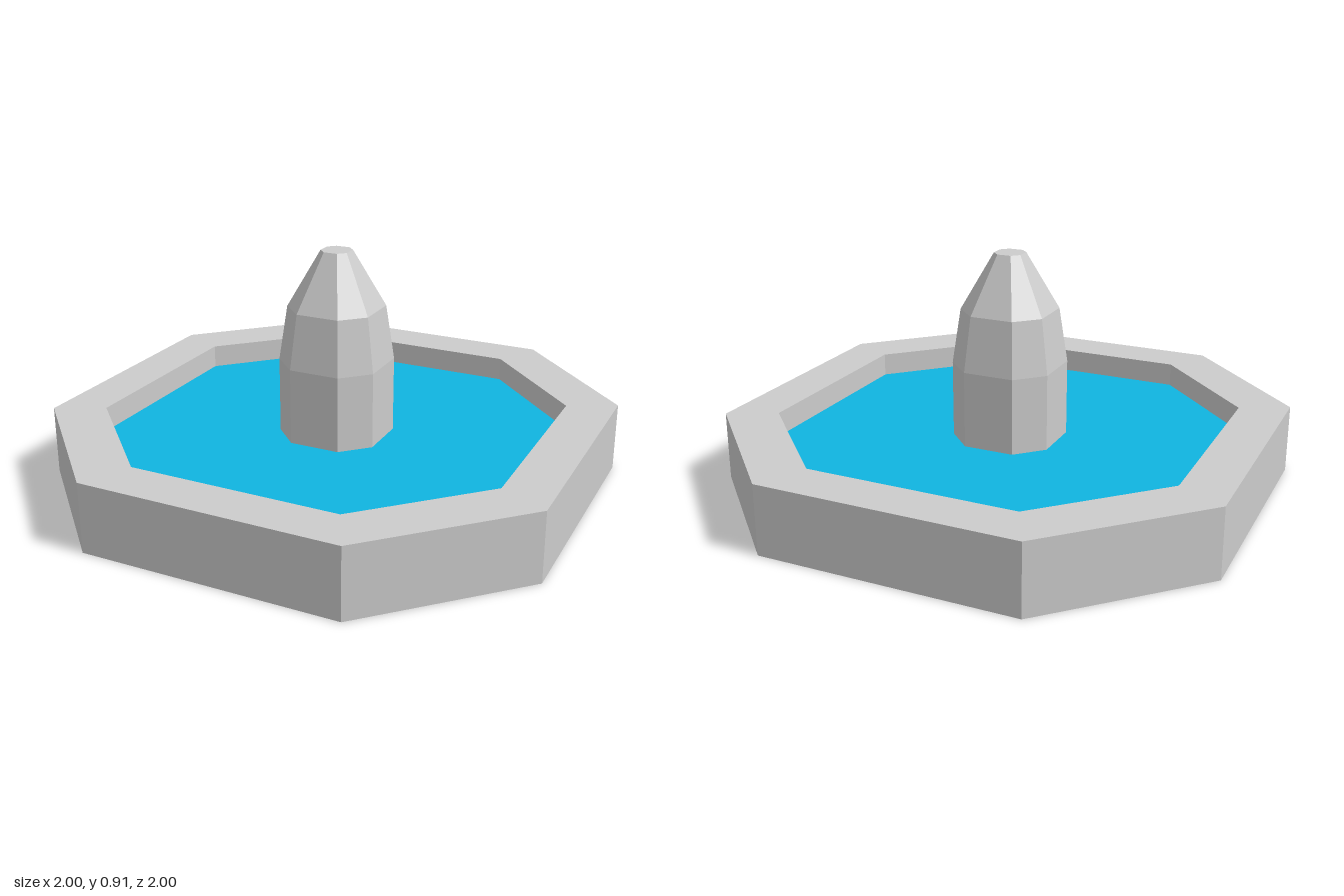
import * as THREE from 'three';

// Octagon with unit half-width and slightly longer diagonal sides, counter-clockwise from above
const CORNERS = [[0.5, 1], [1, 0.5], [1, -0.5], [0.5, -1], [-0.5, -1], [-1, -0.5], [-1, 0.5], [-0.5, 1]];

// Sweeps a [half-width, height] profile around the octagon
function octagonSweep(profile) {
  const positions = [];
  const point = ([r, y], i) => {
    const [x, z] = CORNERS[i % 8];
    return [x * r, y, z * r];
  };
  for (let j = 0; j < profile.length - 1; j++) {
    const low = profile[j], high = profile[j + 1];
    for (let i = 0; i < 8; i++) {
      const a = point(low, i), b = point(low, i + 1);
      const c = point(high, i + 1), d = point(high, i);
      if (low[0] > 0) positions.push(...a, ...b, ...c);
      if (high[0] > 0) positions.push(...a, ...c, ...d);
    }
  }
  const geometry = new THREE.BufferGeometry();
  geometry.setAttribute('position', new THREE.Float32BufferAttribute(positions, 3));
  geometry.computeVertexNormals();
  return geometry;
}

export function createModel() {
  const group = new THREE.Group();
  const stone = new THREE.MeshStandardMaterial({ color: 0xcccccc, flatShading: true });
  const blue = new THREE.MeshStandardMaterial({ color: 0x10b4e0, flatShading: true });

  const add = (name, profile, material) => {
    const mesh = new THREE.Mesh(octagonSweep(profile), material);
    mesh.name = name;
    group.add(mesh);
  };

  const inner = 0.815, floorY = 0.1, waterY = 0.175;

  // Basin wall, open in the middle
  add('basinRim', [[inner, 0], [1, 0], [1, 0.27], [inner, 0.27], [inner, 0]], stone);
  // Underside of the basin, set up inside the wall
  add('basinFloor', [[0, floorY], [inner, floorY]], stone);
  // Water surface
  add('water', [[inner, waterY], [0, waterY]], blue);
  // Tapered centre column, reaching just below the floor
  add('column', [[0, 0.07], [0.2, 0.07], [0.2, 0.475], [0.17, 0.69], [0.055, 0.91], [0, 0.91]], stone);

  return group;
}
